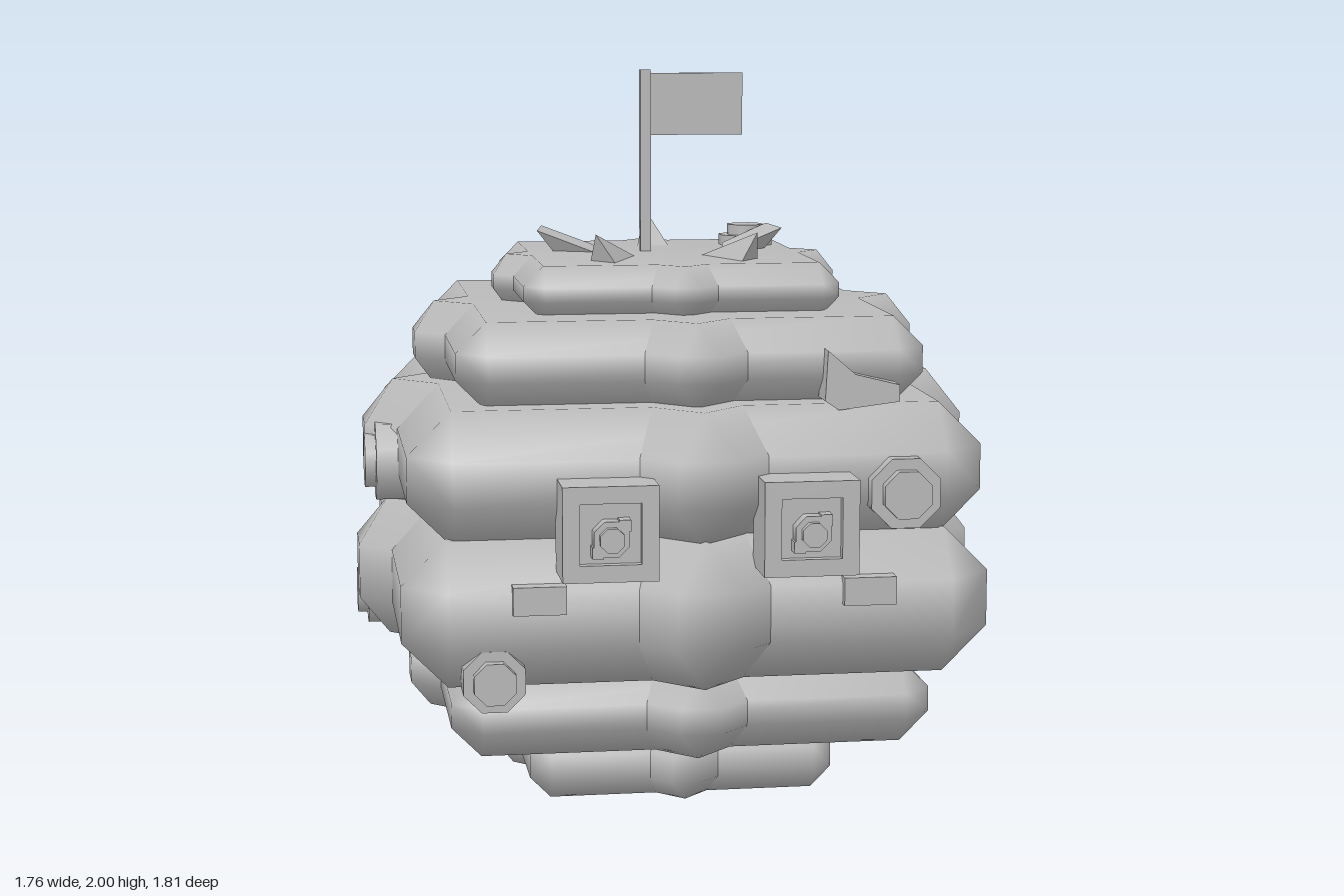
import * as THREE from 'three';
import { mergeVertices } from 'three/addons/utils/BufferGeometryUtils.js';
import { ConvexGeometry } from 'three/addons/geometries/ConvexGeometry.js';

const V = (x, y, z) => new THREE.Vector3(x, y, z);

// Box with single 45 degree bevels on every edge, softly shaded
function bevelledBox(halfW, halfH, c) {
  const points = [];
  for (const sx of [-1, 1]) for (const sy of [-1, 1]) for (const sz of [-1, 1]) {
    points.push(V(sx * halfW, sy * (halfH - c), sz * (halfW - c)));
    points.push(V(sx * (halfW - c), sy * halfH, sz * (halfW - c)));
    points.push(V(sx * (halfW - c), sy * (halfH - c), sz * halfW));
  }
  const geo = new ConvexGeometry(points);
  geo.deleteAttribute('normal');
  const merged = mergeVertices(geo, 1e-4);
  merged.computeVertexNormals();
  return merged;
}

export function createModel() {
  const model = new THREE.Group();
  const grey = new THREE.MeshStandardMaterial({ color: 0xbababa });
  grey.name = 'grey';

  const add = (name, geo, x = 0, y = 0, z = 0, parent = model) => {
    const mesh = new THREE.Mesh(geo, grey);
    mesh.name = name;
    mesh.position.set(x, y, z);
    parent.add(mesh);
    return mesh;
  };

  // Body layers: bottom, top, half width, reach of the rotated corners, bevel
  const layers = [
    [0.0, 0.187, 0.425, 0.48, 0.057],
    [0.183, 0.412, 0.655, 0.735, 0.08],
    [0.4, 0.797, 0.79, 0.878, 0.122],
    [0.775, 1.135, 0.77, 0.857, 0.118],
    [1.118, 1.355, 0.632, 0.712, 0.082],
    [1.335, 1.485, 0.435, 0.487, 0.055],
  ];
  layers.forEach(([bottom, top, half, reach, c], i) => {
    const layer = new THREE.Group();
    layer.name = `bodyLayer${i + 1}`;
    layer.position.set(0, (bottom + top) / 2, -0.03);
    model.add(layer);
    const h = (top - bottom) / 2;
    add('squareSlab', bevelledBox(half, h, c), 0, 0, 0, layer);
    const half2 = (reach * Math.SQRT2 + c) / 2;
    add('turnedSlab', bevelledBox(half2, h, c), 0, 0, 0, layer).rotation.y = Math.PI / 4;
  });

  // Octagonal studs: outer face position, outward direction, radius, depth
  const octagon = (r, depth) => new THREE.CylinderGeometry(r, r, depth, 8)
    .rotateY(Math.PI / 8).toNonIndexed();
  const stud = (pos, dir, r, depth) => {
    const group = new THREE.Group();
    group.name = 'stud';
    group.position.copy(pos);
    group.quaternion.setFromUnitVectors(V(0, 1, 0), dir);
    model.add(group);
    add('studBase', octagon(r, depth), 0, -0.03 - depth / 2, 0, group);
    add('studCap', octagon(r * 0.68, 0.05), 0, -0.025, 0, group);
  };
  stud(V(-0.555, 0.44, 0.79), V(0, 0, 1), 0.088, 0.1);
  stud(V(0.53, 0.915, 0.81), V(0, 0, 1), 0.1, 0.1);
  stud(V(-0.87, 0.44, -0.43), V(-1, 0, 0), 0.1, 0.12);
  stud(V(-0.86, 0.92, 0.07), V(-1, 0, 0), 0.115, 0.1);
  stud(V(0.865, 0.6, -0.225), V(1, 0, 0), 0.14, 0.1);
  stud(V(0.2, 0.795, -0.9), V(0, 0, -1), 0.137, 0.12);
  stud(V(0.275, 1.545, -0.235), V(0, 1, 0), 0.08, 0.05);

  // Eyes: hollow square frames with stepped pupils
  const rect = (shape, w, h) => {
    shape.moveTo(-w / 2, -h / 2).lineTo(w / 2, -h / 2);
    shape.lineTo(w / 2, h / 2).lineTo(-w / 2, h / 2).closePath();
    return shape;
  };
  for (const s of [-1, 1]) {
    const eye = new THREE.Group();
    eye.name = s > 0 ? 'leftEye' : 'rightEye';
    eye.position.set(s * 0.262, 0.845, 0);
    model.add(eye);
    const frame = rect(new THREE.Shape(), 0.25, 0.25);
    frame.holes.push(rect(new THREE.Path(), 0.16, 0.16));
    add('eyeFrame', new THREE.ExtrudeGeometry(frame, { depth: 0.17, bevelEnabled: false }), 0, 0, 0.7, eye);
    add('eyePlate', new THREE.BoxGeometry(0.17, 0.17, 0.14), 0, -0.005, 0.775, eye);
    const pupil = (r, front) => add('pupil', octagon(r, 0.06).rotateX(Math.PI / 2), 0, -0.01, front - 0.03, eye);
    pupil(0.05, 0.886);
    pupil(0.034, 0.906);
    for (const k of [-1, 1])
      add('pupilNotch', new THREE.BoxGeometry(0.03, 0.03, 0.05), k * 0.035, k * 0.035 - 0.01, 0.86, eye);

    // Cheek plates below the eyes
    add('cheek', new THREE.BoxGeometry(0.14, 0.075, 0.12), s * 0.437, 0.657, 0.725);
  }

  // Ring of shards on the top
  const shard = (name, pts) => add(name, new ConvexGeometry(pts.map((p) => V(...p))));
  shard('backShard', [[0, 1.58, -0.41], [0, 1.475, -0.38], [-0.05, 1.475, -0.21], [0.05, 1.475, -0.21]]);
  for (const s of [-1, 1]) {
    shard('frontShard', [[s * 0.08, 1.475, 0.06], [s * 0.235, 1.475, 0.2],
      [s * 0.17, 1.475, 0.29], [s * 0.225, 1.56, 0.25]]);
    shard('sideShard', [[s * 0.17, 1.475, -0.04], [s * 0.355, 1.545, -0.08],
      [s * 0.33, 1.55, -0.2], [s * 0.19, 1.5, -0.13], [s * 0.3, 1.475, -0.1]]);
  }

  // Chip on the front and pebble on the left side
  const chip = new THREE.Shape([[0.345, 1.28], [0.338, 1.145], [0.375, 1.12], [0.54, 1.14], [0.54, 1.185], [0.42, 1.215]]
    .map(([x, y]) => new THREE.Vector2(x, y)));
  add('chip', new THREE.ExtrudeGeometry(chip, { depth: 0.09, bevelEnabled: false }), 0, 0, 0.56);
  add('pebble', new THREE.BoxGeometry(0.12, 0.05, 0.07), 0.66, 0.43, -0.4).rotation.x = 0.3;

  // Flag
  add('flagPole', new THREE.BoxGeometry(0.03, 0.53, 0.026), -0.045, 1.735, -0.067);
  add('flagCloth', new THREE.BoxGeometry(0.265, 0.175, 0.014), 0.102, 1.903, -0.067);

  return model;
}
